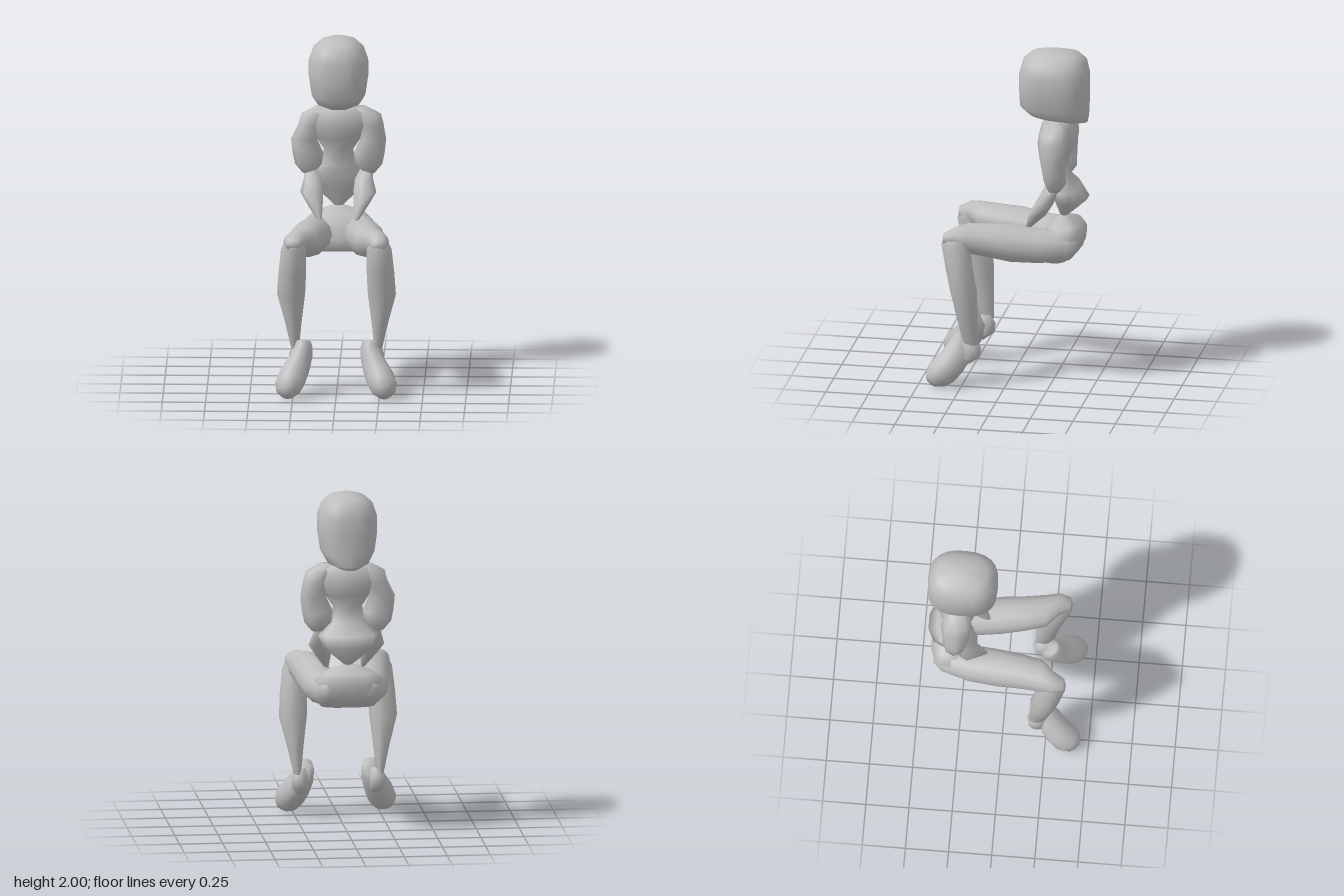
import * as THREE from 'three';

const grey = new THREE.MeshStandardMaterial({ color: 0xbdbdbd });
grey.name = 'plain grey';

const UP = [0, 0, 1]; // rings lying flat, stacked in y
const FORWARD = [0, 1, 0]; // rings standing upright, stacked in z

// Skins a row of rings [x, y, z, half width, half depth]; v is the ring's depth direction
function loft(rings, v, { sides = 12, power = 2, side = 1 } = {}) {
  const pos = [], index = [];
  const bend = (t) => Math.sign(t) * Math.abs(t) ** (2 / power);
  for (const [x, y, z, a, b] of rings) {
    for (let i = 0; i < sides; i++) {
      const t = (i / sides) * Math.PI * 2;
      const c = bend(Math.cos(t)) * a, s = bend(Math.sin(t)) * b;
      pos.push(side * (x + c), y + v[1] * s, z + v[2] * s);
    }
  }
  const last = rings.length - 1, n = rings.length * sides;
  for (const r of [rings[0], rings[last]]) pos.push(side * r[0], r[1], r[2]);
  for (let j = 0; j < last; j++) {
    for (let i = 0; i < sides; i++) {
      const a = j * sides + i, b = j * sides + (i + 1) % sides;
      index.push(a, b, b + sides, a, b + sides, a + sides);
    }
  }
  for (let i = 0; i < sides; i++) {
    const k = (i + 1) % sides;
    index.push(n, k, i, n + 1, last * sides + i, last * sides + k);
  }
  // Turn the faces outward when the enclosed volume comes out negative
  const p = (i) => new THREE.Vector3().fromArray(pos, i * 3);
  const origin = p(n);
  let volume = 0;
  for (let i = 0; i < index.length; i += 3) {
    const [a, b, c] = [0, 1, 2].map((k) => p(index[i + k]).sub(origin));
    volume += a.dot(b.cross(c));
  }
  if (volume < 0) index.reverse();
  const geo = new THREE.BufferGeometry();
  geo.setAttribute('position', new THREE.Float32BufferAttribute(pos, 3));
  geo.setIndex(index);
  geo.computeVertexNormals();
  return geo;
}

export function createModel() {
  const model = new THREE.Group();
  model.name = 'seatedFigure';
  const add = (name, geo) => {
    const mesh = new THREE.Mesh(geo, grey);
    mesh.name = name;
    model.add(mesh);
  };

  // Head: rounded block, flat at the back, with a chin that rises toward the front
  const head = loft([
    [0, 1.58, -0.3, 0.06, 0.145], [0, 1.605, -0.275, 0.12, 0.175],
    [0, 1.67, -0.252, 0.156, 0.2], [0, 1.78, -0.25, 0.172, 0.204],
    [0, 1.87, -0.25, 0.172, 0.202], [0, 1.94, -0.252, 0.148, 0.185],
    [0, 1.98, -0.255, 0.105, 0.145], [0, 2.0, -0.26, 0.05, 0.075],
  ], UP, { sides: 24, power: 2.5 });
  const hp = head.attributes.position;
  for (let i = 0; i < hp.count; i++) {
    if (hp.getY(i) < 1.65) hp.setY(i, hp.getY(i) + Math.max(0, hp.getZ(i) + 0.28) * 0.1);
  }
  head.computeVertexNormals();
  add('head', head);

  add('neck', loft([[0, 1.5, -0.28, 0.07, 0.06], [0, 1.62, -0.27, 0.06, 0.06]], UP));

  // Chest, narrow waist and flared lower back ending in a point
  add('torso', loft([
    [0, 1.6, -0.27, 0.1, 0.06], [0, 1.57, -0.27, 0.18, 0.09],
    [0, 1.49, -0.275, 0.19, 0.115], [0, 1.41, -0.275, 0.13, 0.085],
    [0, 1.34, -0.275, 0.085, 0.06], [0, 1.25, -0.285, 0.1, 0.06],
    [0, 1.18, -0.315, 0.175, 0.09], [0, 1.115, -0.35, 0.15, 0.102],
    [0, 1.0, -0.305, 0.02, 0.02],
  ], UP, { sides: 10 }));

  // Pelvis: broad squarish back and a narrow top meeting the waist
  add('pelvis', loft([
    [0, 1.005, -0.305, 0.03, 0.02], [0, 0.96, -0.32, 0.15, 0.08],
    [0, 0.91, -0.31, 0.2, 0.12], [0, 0.82, -0.29, 0.19, 0.125],
    [0, 0.755, -0.26, 0.16, 0.09],
  ], UP, { sides: 16, power: 2.8 }));

  for (const side of [1, -1]) {
    const s = side > 0 ? 'left' : 'right';
    const tuck = side > 0 ? 0 : 0.03; // the right shoulder sits closer to the neck

    // Upper arm slopes off the shoulder, bulges outward and stops at a blunt elbow
    add(s + 'UpperArm', loft([
      [0.12 - tuck, 1.59, -0.27, 0.05, 0.05], [0.165 - tuck, 1.55, -0.272, 0.08, 0.08],
      [0.185 - tuck, 1.49, -0.275, 0.075, 0.09], [0.2, 1.4, -0.275, 0.075, 0.075],
      [0.175, 1.31, -0.28, 0.09, 0.07], [0.172, 1.25, -0.285, 0.08, 0.065],
      [0.175, 1.2, -0.28, 0.035, 0.035],
    ], UP, { side, sides: 8 }));

    // Forearm reaches down and forward to a pointed hand
    add(s + 'Forearm', loft([
      [0.16, 1.23, -0.29, 0.035, 0.03], [0.145, 1.17, -0.245, 0.055, 0.05],
      [0.15, 1.1, -0.21, 0.07, 0.055], [0.13, 1.03, -0.17, 0.045, 0.05],
      [0.105, 0.95, -0.115, 0.012, 0.018],
    ], UP, { side, sides: 7 }));

    // Thigh runs forward from hip to knee
    add(s + 'Thigh', loft([
      [0.1, 0.87, -0.41, 0.06, 0.05], [0.105, 0.86, -0.36, 0.098, 0.095],
      [0.14, 0.85, -0.2, 0.108, 0.1], [0.162, 0.865, -0.03, 0.108, 0.112],
      [0.178, 0.88, 0.1, 0.102, 0.1], [0.2, 0.893, 0.22, 0.096, 0.088],
      [0.24, 0.908, 0.29, 0.066, 0.06], [0.25, 0.9, 0.355, 0.04, 0.03],
    ], FORWARD, { side }));

    // Shin swells at the calf and thins to the ankle
    add(s + 'Shin', loft([
      [0.24, 0.94, 0.28, 0.045, 0.05], [0.247, 0.87, 0.285, 0.072, 0.083],
      [0.255, 0.72, 0.262, 0.08, 0.078], [0.262, 0.59, 0.235, 0.081, 0.077],
      [0.25, 0.42, 0.215, 0.048, 0.062], [0.24, 0.26, 0.195, 0.022, 0.045],
    ], UP, { side, sides: 10 }));

    // Foot hangs forward and down, blunt at the instep and wider at the toes
    add(s + 'Foot', loft([
      [0.19, 0.31, 0.25, 0.044, 0.035], [0.19, 0.275, 0.245, 0.052, 0.068],
      [0.207, 0.22, 0.26, 0.068, 0.082], [0.243, 0.145, 0.308, 0.086, 0.086],
      [0.265, 0.09, 0.36, 0.087, 0.09], [0.274, 0.05, 0.397, 0.07, 0.07],
      [0.278, 0.026, 0.42, 0.034, 0.038],
    ], [0, 0.6, 0.8], { side, sides: 14 }));

    // Heel blends the ankle into the sole
    add(s + 'Heel', loft([
      [0.22, 0.14, 0.235, 0.03, 0.035], [0.226, 0.18, 0.2, 0.048, 0.055],
      [0.226, 0.235, 0.195, 0.048, 0.055], [0.22, 0.285, 0.215, 0.03, 0.045],
    ], UP, { side, sides: 12 }));
  }
  return model;
}
